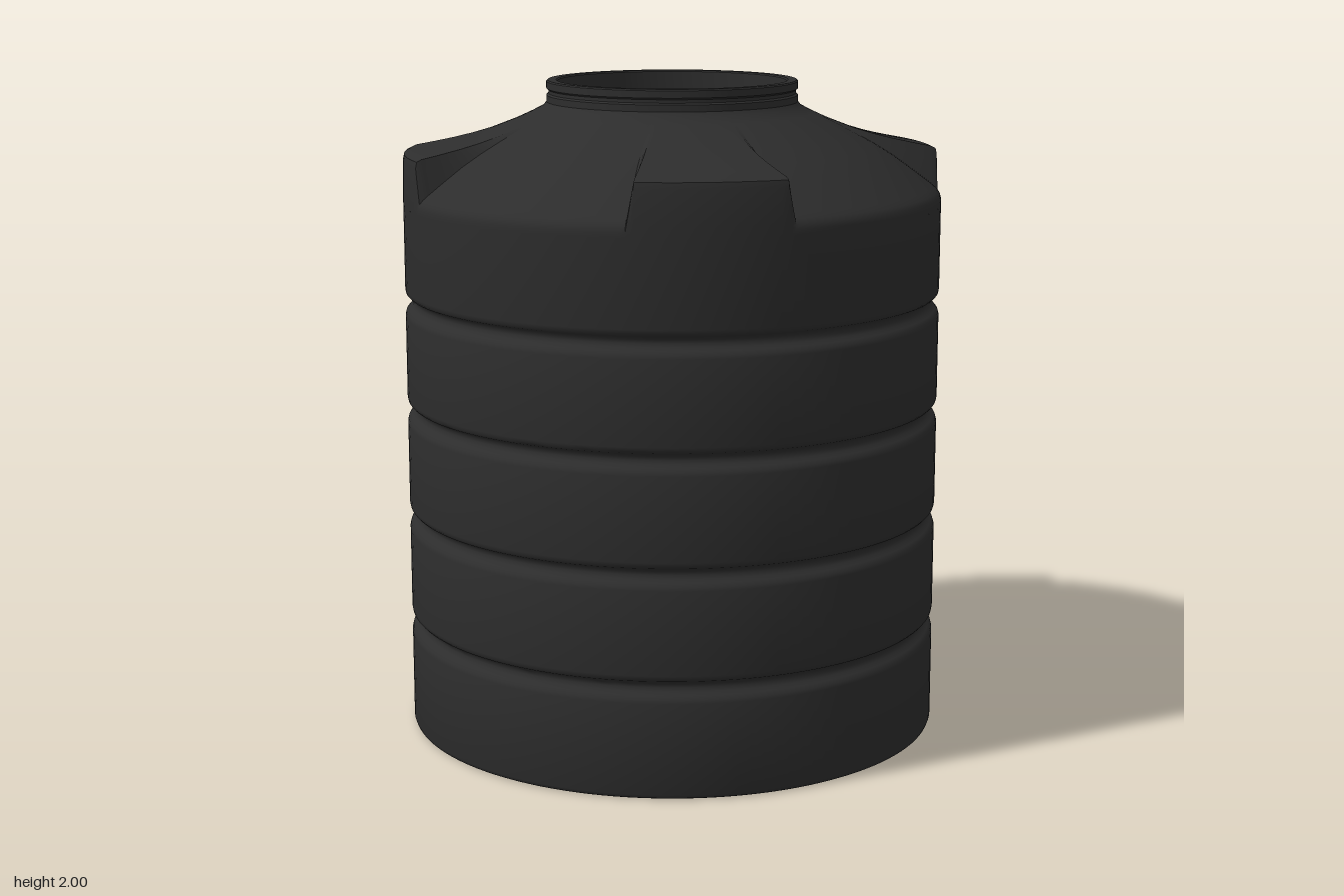
import * as THREE from 'three';
import { toCreasedNormals } from 'three/addons/utils/BufferGeometryUtils.js';

const R = 0.82;

// Wall shared by the flat and the raised sectors of the shoulder: [radius, height]
const LOW = [[0.82, 1.63], [0.82, 1.645], [0.816, 1.66], [0.806, 1.672], [0.79, 1.685], [0.74, 1.722],
  [0.68, 1.765], [0.62, 1.802], [0.56, 1.835], [0.48, 1.877], [0.43, 1.902], [0.392, 1.922], [0.382, 1.935]];
const HIGH = [[0.82, 1.63], [0.82, 1.66], [0.818, 1.765], [0.814, 1.783], [0.80, 1.79], [0.74, 1.802],
  [0.68, 1.815], [0.62, 1.83], [0.56, 1.848], [0.48, 1.879], [0.43, 1.902], [0.392, 1.922], [0.382, 1.935]];

// Raised sectors in degrees, turning from +x towards +z
const SECTORS = [[11, 45], [101, 135], [191, 225], [270, 303]];
const RAMP = 1.6;

function raise(deg) {
  let f = 0;
  for (const [s, e] of SECTORS) {
    f = Math.max(f, Math.min(1, (deg - s) / RAMP, (e - deg) / RAMP));
  }
  return f;
}

function lathe(points, crease) {
  const g = new THREE.LatheGeometry(points.map(([r, y]) => new THREE.Vector2(r, y)), 128);
  return toCreasedNormals(g, crease);
}

// Shoulder: blend the two profiles around the axis
function shoulderGeometry() {
  const set = new Set();
  for (let a = 0; a < 360; a += 2) set.add(a);
  for (const [s, e] of SECTORS) [s, s + RAMP, e - RAMP, e].forEach((a) => set.add(a));
  const angles = [...set].sort((a, b) => a - b);
  const n = angles.length, m = LOW.length;
  const position = [], index = [];
  angles.forEach((deg, i) => {
    const f = raise(deg), a = THREE.MathUtils.degToRad(deg);
    for (let j = 0; j < m; j++) {
      const r = THREE.MathUtils.lerp(LOW[j][0], HIGH[j][0], f);
      const y = THREE.MathUtils.lerp(LOW[j][1], HIGH[j][1], f);
      position.push(r * Math.cos(a), y, r * Math.sin(a));
      if (j < m - 1) {
        const p = i * m + j, q = ((i + 1) % n) * m + j;
        index.push(p, p + 1, q, q, p + 1, q + 1);
      }
    }
  });
  const g = new THREE.BufferGeometry();
  g.setAttribute('position', new THREE.Float32BufferAttribute(position, 3));
  g.setIndex(index);
  return toCreasedNormals(g, 0.6);
}

export function createModel() {
  const group = new THREE.Group();
  const plastic = new THREE.MeshStandardMaterial({ color: 0x2d2d2d, side: THREE.DoubleSide });
  plastic.name = 'black plastic';

  const add = (name, geometry) => {
    const mesh = new THREE.Mesh(geometry, plastic);
    mesh.name = name;
    group.add(mesh);
  };

  // Base and wall with four rounded grooves
  const wall = [[0, 0], [0.808, 0], [0.816, 0.004], [R, 0.014]];
  for (let i = 1; i <= 4; i++) {
    const c = i * 0.334;
    wall.push([R, c - 0.045], [0.817, c - 0.034], [0.808, c - 0.024], [0.797, c - 0.015], [0.792, c - 0.004],
      [0.793, c + 0.006], [0.80, c + 0.014], [0.812, c + 0.02], [0.818, c + 0.027], [R, c + 0.038]);
  }
  wall.push([R, 1.63]);
  add('tankWall', lathe(wall, 0.75));

  // Sloping shoulder with four raised sectors
  add('shoulder', shoulderGeometry());

  // Open neck with a stepped rim
  add('neckRim', lathe([[0.382, 1.935], [0.382, 1.955], [0.376, 1.96], [0.376, 1.97], [0.382, 1.975],
    [0.382, 1.996], [0.378, 2], [0.352, 2], [0.348, 1.996], [0.348, 1.94], [0.382, 1.93]], 0.6));

  return group;
}
